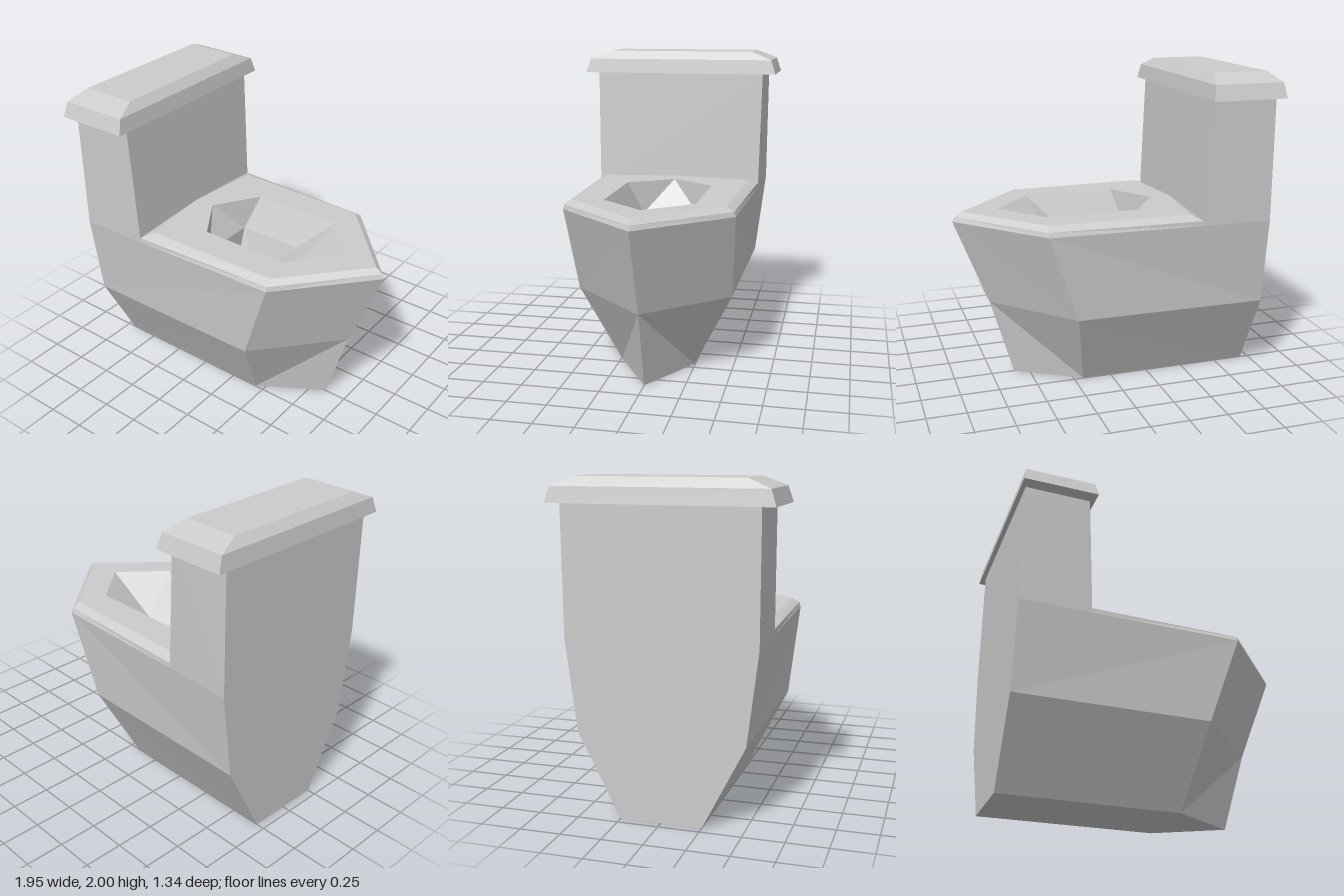
import * as THREE from 'three';

const material = new THREE.MeshStandardMaterial({ color: 0xcccccc, flatShading: true });

// Mirror a half outline ([x, z, optional y], back to front, z >= 0) into a closed ring
function ring(y, half) {
  const pts = half.map(([x, z, py = y]) => new THREE.Vector3(x, py, z));
  const mirrored = pts.filter(p => p.z > 0).reverse().map(p => new THREE.Vector3(p.x, p.y, -p.z));
  return [...pts, ...mirrored];
}

// Skin a stack of rings, optionally closing the first and last one
function loft(name, rings, { capFirst = false, capLast = false } = {}) {
  const pos = [];
  const tri = (...v) => v.forEach(p => pos.push(p.x, p.y, p.z));
  const n = rings[0].length;
  for (let k = 0; k + 1 < rings.length; k++) {
    const a = rings[k], b = rings[k + 1];
    for (let i = 0; i < n; i++) {
      const j = (i + 1) % n;
      // diagonals are mirrored on the -z half
      if (a[i].z + a[j].z < 0) { tri(a[i], a[j], b[i]); tri(a[j], b[j], b[i]); }
      else { tri(a[i], a[j], b[j]); tri(a[i], b[j], b[i]); }
    }
  }
  const first = rings[0], last = rings[rings.length - 1];
  for (let i = 1; i + 1 < n; i++) {
    if (capFirst) tri(first[0], first[i + 1], first[i]);
    if (capLast) tri(last[0], last[i], last[i + 1]);
  }
  const geo = new THREE.BufferGeometry();
  geo.setAttribute('position', new THREE.Float32BufferAttribute(pos, 3));
  geo.computeVertexNormals();
  const mesh = new THREE.Mesh(geo, material);
  mesh.name = name;
  return mesh;
}

// Rectangular outline between two x positions
const box = (y, x0, x1, z0, z1 = z0) => ring(y, [[x0, z0], [x1, z1]]);

export function createModel() {
  const group = new THREE.Group();
  group.name = 'toilet';

  // Pedestal, flaring upward to a pointed front
  group.add(loft('pedestal', [
    ring(0, [[-0.945, 0.25], [0.19, 0.245], [0.6, 0]]),
    ring(0.51, [[-0.945, 0.51], [0.29, 0.5], [0.75, 0]]),
    ring(1.07, [[-0.945, 0.58], [0.48, 0.54], [0.97, 0]]),
  ], { capFirst: true }));

  // Bevelled seat edge
  const seatTop = ring(1.13, [[-0.495, 0], [-0.435, 0.5], [0.47, 0.48], [0.91, 0]]);
  group.add(loft('seatEdge', [
    ring(1.07, [[-0.495, 0], [-0.495, 0.567], [0.48, 0.54], [0.97, 0]]),
    ring(1.1, [[-0.495, 0, 1.13], [-0.495, 0.565], [0.48, 0.53], [0.955, 0]]),
    seatTop,
  ]));

  // Flat seat top with the bowl opening
  const rim = ring(1.13, [[-0.36, 0], [-0.17, 0.29], [0.43, 0.29], [0.68, 0]]);
  const flat = pts => pts.map(p => new THREE.Vector2(p.x, -p.z));
  const shape = new THREE.Shape(flat(seatTop));
  shape.holes.push(new THREE.Path(flat(rim)));
  const seat = new THREE.Mesh(
    new THREE.ShapeGeometry(shape).rotateX(-Math.PI / 2).translate(0, 1.13, 0), material);
  seat.name = 'seatTop';
  group.add(seat);

  // Inside of the bowl, going down from the rim
  group.add(loft('bowl', [
    rim,
    ring(0.91, [[-0.235, 0], [-0.235, 0.19], [0.2, 0.19], [0.33, 0]]),
    ring(0.6, [[-0.235, 0], [-0.235, 0.085], [-0.07, 0.11], [-0.02, 0]]),
  ], { capLast: true }));

  // Water tank
  group.add(loft('tank', [
    box(1.07, -0.945, -0.494, 0.58, 0.567),
    box(1.85, -0.945, -0.53, 0.585, 0.58),
  ]));

  // Overhanging tank lid with sloped edges
  group.add(loft('tankLid', [
    box(1.85, -0.975, -0.5, 0.668),
    box(1.945, -0.96, -0.515, 0.637),
    box(2, -0.915, -0.56, 0.5),
  ], { capFirst: true, capLast: true }));

  return group;
}
